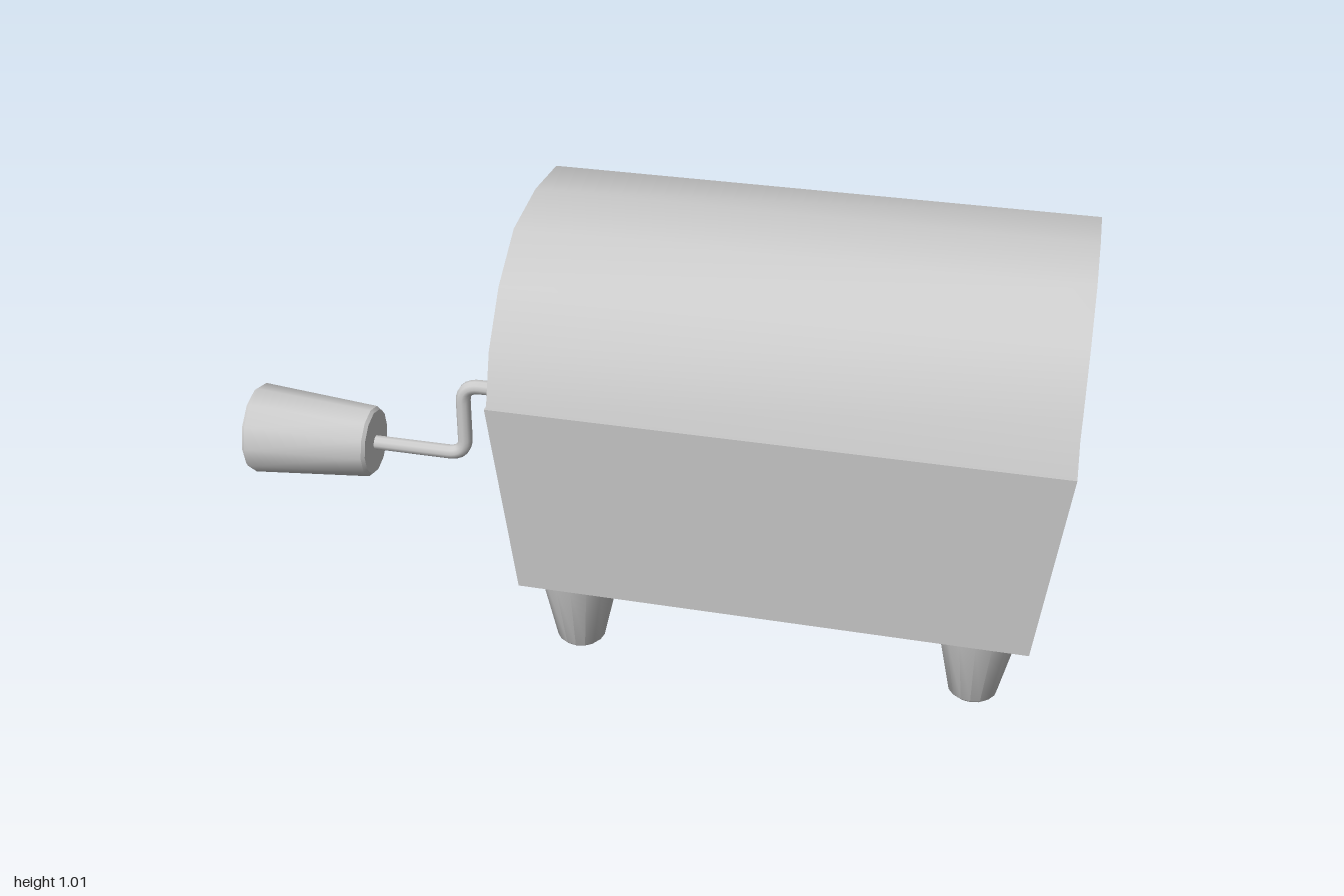
import * as THREE from 'three';
import { toCreasedNormals } from 'three/addons/utils/BufferGeometryUtils.js';

export function createModel() {
  const model = new THREE.Group();
  model.name = 'crankBox';
  const material = new THREE.MeshStandardMaterial({ color: 0xcccccc });

  function add(name, geometry, x = 0, y = 0, z = 0, parent = model) {
    const mesh = new THREE.Mesh(geometry, material);
    mesh.name = name;
    mesh.position.set(x, y, z);
    parent.add(mesh);
    return mesh;
  }

  // Turned part: [radius, height] profile from bottom to top, sharp at its edges
  function turned(profile, sides) {
    const points = profile.map(([r, h]) => new THREE.Vector2(r, h));
    return toCreasedNormals(new THREE.LatheGeometry(points, sides), 0.62);
  }

  // Body: a box that narrows towards the bottom
  const bodyX = 0.3675;
  const body = new THREE.BoxGeometry(1.255, 0.48, 0.854);
  const pos = body.attributes.position;
  for (let i = 0; i < pos.count; i++) {
    if (pos.getY(i) < 0) {
      pos.setX(i, pos.getX(i) * 0.918);
      pos.setZ(i, pos.getZ(i) * 0.92);
    }
  }
  body.computeVertexNormals();
  add('body', body, bodyX, 0.44, 0);

  // Lid: barrel-shaped cross-section extruded along the length
  const half = [[0.425, 0.68], [0.387, 0.802], [0.3, 0.914], [0.175, 0.994]];
  const outline = [
    ...half, [0, 1.012],
    ...half.slice().reverse().map(([z, y]) => [-z, y]),
  ].map(([z, y]) => new THREE.Vector2(z, y));
  const lid = new THREE.ExtrudeGeometry(new THREE.Shape(outline), { depth: 1.247, bevelEnabled: false });
  lid.translate(0, 0, -1.247 / 2).rotateY(Math.PI / 2);
  add('lid', toCreasedNormals(lid, 0.8), bodyX, 0, 0);

  // Four tapered feet
  const foot = turned([[0, 0], [0.048, 0], [0.056, 0.008], [0.097, 0.2], [0, 0.2]], 16);
  for (const [side, x] of [['left', 0.828], ['right', -0.092]]) {
    for (const [end, z] of [['Front', 0.28], ['Back', -0.28]]) add(side + end + 'Foot', foot, x, 0, z);
  }

  // Crank: hub on the slanted wall, bent rod and tapered grip
  const crank = new THREE.Group();
  crank.name = 'crank';
  model.add(crank);

  const hub = add('crankHub',
    turned([[0.118, -0.01], [0.115, 0.006], [0.09, 0.028], [0.05, 0.043], [0, 0.047]], 12),
    -0.236, 0.47, 0, crank);
  hub.rotation.z = Math.PI / 2 + 0.104;

  const v = (x, y) => new THREE.Vector3(x, y, 0);
  const bend = 0.045;
  const [top, low, elbow] = [0.476, 0.282, -0.455];
  const path = new THREE.CurvePath();
  path.add(new THREE.LineCurve3(v(-0.23, top), v(elbow + bend, top)));
  path.add(new THREE.QuadraticBezierCurve3(v(elbow + bend, top), v(elbow, top), v(elbow, top - bend)));
  path.add(new THREE.LineCurve3(v(elbow, top - bend), v(elbow, low + bend)));
  path.add(new THREE.QuadraticBezierCurve3(v(elbow, low + bend), v(elbow, low), v(elbow - bend, low)));
  path.add(new THREE.LineCurve3(v(elbow - bend, low), v(-0.71, low)));
  add('crankRod', new THREE.TubeGeometry(path, 64, 0.018, 10, false), 0, 0, 0, crank);

  const grip = add('crankGrip',
    turned([[0, 0], [0.081, 0], [0.088, 0.008], [0.112, 0.304], [0.107, 0.311], [0, 0.311]], 12),
    -0.689, 0.284, 0, crank);
  grip.rotation.z = Math.PI / 2;

  return model;
}
